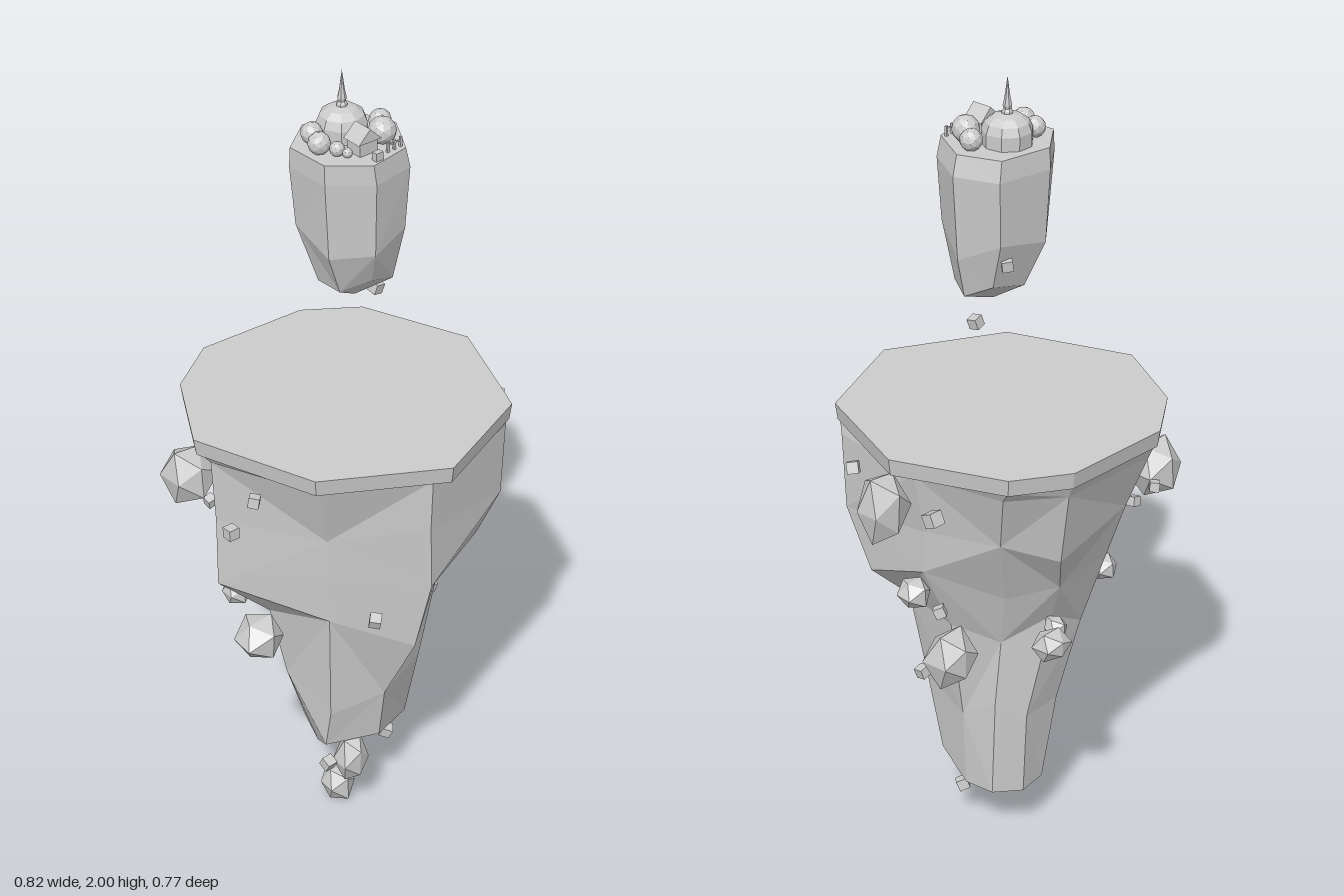
import * as THREE from 'three';

const material = new THREE.MeshStandardMaterial({ color: 0xcccccc, flatShading: true });

function add(parent, name, geometry, x = 0, y = 0, z = 0) {
  const mesh = new THREE.Mesh(geometry, material);
  mesh.name = name;
  mesh.position.set(x, y, z);
  parent.add(mesh);
  return mesh;
}

// Skin a stack of closed loops (top to bottom, arrays of [x, y, z]) and cap both ends.
function loft(loops, topCentre, bottomCentre) {
  const out = [];
  const tri = (...points) => points.forEach((p) => out.push(...p));
  const n = loops[0].length;
  const last = loops.length - 1;
  for (let j = 0; j < n; j++) {
    const k = (j + 1) % n;
    tri(topCentre, loops[0][k], loops[0][j]);
    tri(bottomCentre, loops[last][j], loops[last][k]);
    for (let i = 0; i < last; i++) {
      const [a, b, c, d] = [loops[i][j], loops[i][k], loops[i + 1][j], loops[i + 1][k]];
      // Alternate the diagonals for a chiselled look
      if ((i + j) % 2) { tri(a, b, c); tri(b, d, c); }
      else { tri(a, b, d); tri(a, d, c); }
    }
  }
  const g = new THREE.BufferGeometry();
  g.setAttribute('position', new THREE.Float32BufferAttribute(out, 3));
  g.computeVertexNormals();
  return g;
}

const ring = (outline, y, s = 1) => outline.map(([x, z]) => [x * s, y, z * s]);

const lathe = (points, sides) =>
  new THREE.LatheGeometry(points.map(([x, y]) => new THREE.Vector2(x, y)), sides);

// Uneven boulder: an icosahedron whose corners are pushed in and out by a rule
function boulder(rx, ry, rz, seed) {
  const g = new THREE.IcosahedronGeometry(1, 0);
  const p = g.attributes.position;
  for (let i = 0; i < p.count; i++) {
    const [x, y, z] = [p.getX(i), p.getY(i), p.getZ(i)];
    const s = 1.05 + 0.11 * Math.sin(x * 5 + y * 7 + z * 11 + seed * 2.3);
    p.setXYZ(i, x * s * rx, y * s * ry, z * s * rz);
  }
  g.computeVertexNormals();
  return g;
}

function mainIsland() {
  const group = new THREE.Group();
  group.name = 'mainIsland';
  const slab = [[-0.16, -0.385], [0.13, -0.375], [0.26, -0.29], [0.372, -0.02], [0.26, 0.27],
    [-0.02, 0.385], [-0.3, 0.23], [-0.415, -0.08], [-0.3, -0.29]];
  add(group, 'plateau', loft([ring(slab, 1.165), ring(slab, 1.122, 0.985)], [0, 1.165, 0], [0, 1.12, 0]));

  // Tapering cliff, one outline per height
  const upper = [[-0.15, -0.36], [0.12, -0.35], [0.24, -0.255], [0.29, -0.02], [0.26, 0.25],
    [-0.02, 0.315], [-0.25, 0.18], [-0.375, -0.07], [-0.28, -0.27]];
  const shoulder = [[-0.13, -0.31], [0.1, -0.31], [0.2, -0.21], [0.26, -0.02], [0.26, 0.24],
    [-0.02, 0.31], [-0.2, 0.145], [-0.365, -0.07], [-0.24, -0.23]];
  const middle = [[-0.12, -0.26], [0.04, -0.255], [0.13, -0.16], [0.255, -0.01], [0.25, 0.17],
    [-0.01, 0.305], [-0.2, 0.14], [-0.365, -0.07], [-0.21, -0.2]];
  const waist = [[-0.1, -0.2], [0.01, -0.205], [0.1, -0.12], [0.17, -0.02], [0.15, 0.14],
    [-0.03, 0.27], [-0.19, 0.14], [-0.235, -0.04], [-0.15, -0.13]];
  const lower = [[-0.06, -0.16], [0.05, -0.16], [0.11, -0.11], [0.13, -0.02], [0.11, 0.12],
    [-0.05, 0.18], [-0.18, 0.13], [-0.2, -0.02], [-0.12, -0.11]];
  const foot = [[-0.03, -0.14], [0.05, -0.15], [0.11, -0.1], [0.12, -0.02], [0.1, 0.08],
    [-0.05, 0.16], [-0.18, 0.11], [-0.12, 0], [-0.08, -0.1]];
  const uneven = (outline, y, amount) =>
    outline.map(([x, z], i) => [x, y + amount * Math.sin(i * 2.4 + y * 9), z]);
  add(group, 'cliff', loft([
    ring(slab, 1.124, 0.97),
    ring(upper, 1.09),
    uneven(shoulder, 0.92, 0.03),
    uneven(middle, 0.77, 0.04),
    uneven(waist, 0.62, 0.04),
    uneven(lower, 0.38, 0.03),
    // Underside rising towards the front
    foot.map(([x, z]) => [x, 0.14 + 0.25 * Math.max(0, -x - 0.05) + 0.65 * Math.max(0, z), z]),
  ], [0, 1.124, 0], [0.03, 0.137, -0.05]));
  return group;
}

function smallIsland() {
  const group = new THREE.Group();
  group.name = 'smallIsland';
  const rim = [[-0.04, -0.14], [0.1, -0.115], [0.142, -0.01], [0.08, 0.1],
    [-0.035, 0.122], [-0.125, 0.05], [-0.132, -0.07]];
  add(group, 'smallCliff', loft([
    rim.map(([x, z]) => [x * 0.95 - 0.006, 1.84, z * 0.96]),
    ring(rim, 1.79),
    rim.map(([x, z], i) => [x * 0.9, 1.61 + 0.03 * Math.sin(i * 2.4), z * 0.94]),
    rim.map(([x, z], i) => [x * 0.64 + 0.012, 1.495 + 0.02 * Math.sin(i * 2), z * 0.62]),
  ], [0, 1.84, 0], [0, 1.44, 0]));

  // Domed hall with a needle spire
  const dome = [[0.06, 0], [0.06, 0.035], [0.052, 0.055], [0.035, 0.068], [0.014, 0.074], [0, 0.075]];
  add(group, 'dome', lathe(dome, 9), 0, 1.838, -0.045);
  const spire = [[0.013, 0], [0.013, 0.012], [0.009, 0.018], [0.011, 0.026], [0.007, 0.045], [0, 0.095]];
  add(group, 'spire', lathe(spire, 7), 0, 1.905, -0.045);

  // Round shrubs
  const shrubs = [[-0.075, -0.06, 0.026], [-0.093, -0.01, 0.027], [-0.07, 0.025, 0.018],
    [-0.058, 0.047, 0.012], [0.082, -0.01, 0.027], [0.05, 0.037, 0.033]];
  for (const [x, z, r] of shrubs) {
    add(group, 'shrub', new THREE.IcosahedronGeometry(r, 1), x, 1.84 + r * 0.8, z).rotation.y = x * 40;
  }

  // Hut with a gabled roof
  add(group, 'hut', new THREE.BoxGeometry(0.05, 0.04, 0.044), -0.014, 1.858, 0.046);
  const gable = new THREE.Shape([[-0.033, 0], [0.033, 0], [0, 0.032]].map(([x, y]) => new THREE.Vector2(x, y)));
  add(group, 'hutRoof', new THREE.ExtrudeGeometry(gable, { depth: 0.054, bevelEnabled: false }), -0.014, 1.872, 0.019);
  add(group, 'step', new THREE.BoxGeometry(0.02, 0.02, 0.015), -0.015, 1.85, 0.1);

  // Low fence along the front edge
  for (let i = 0; i < 3; i++) {
    add(group, 'fencePost', new THREE.BoxGeometry(0.006, 0.024, 0.006), 0.025 + i * 0.02, 1.852, 0.087 - i * 0.002);
  }
  add(group, 'fenceRail', new THREE.BoxGeometry(0.046, 0.004, 0.003), 0.045, 1.857, 0.085);
  return group;
}

function debris() {
  const group = new THREE.Group();
  group.name = 'debris';
  // x, y, z, then radii along x, y, z
  const rocks = [
    [0.355, 1.015, 0.02, 0.064, 0.092, 0.06], [0.26, 0.745, 0.015, 0.043, 0.04, 0.04],
    [0.24, 0.595, -0.085, 0.06, 0.075, 0.062], [-0.31, 0.595, 0.02, 0.062, 0.058, 0.058],
    [-0.275, 0.64, -0.12, 0.037, 0.034, 0.037], [0.08, 0.635, -0.265, 0.045, 0.038, 0.045],
    [0.02, 0.64, -0.225, 0.03, 0.03, 0.03], [-0.325, 0.95, -0.235, 0.066, 0.075, 0.068],
    [-0.11, 0.175, 0.125, 0.042, 0.072, 0.042], [-0.1, 0.046, 0.055, 0.045, 0.054, 0.045],
  ];
  rocks.forEach(([x, y, z, ...r], i) => add(group, 'floatingRock', boulder(...r, i), x, y, z));

  // x, y, z, edge length
  const chips = [
    [0.345, 1.08, 0.125, 0.028], [0.325, 1.025, -0.115, 0.034], [0.275, 0.74, -0.085, 0.026],
    [0.225, 0.5, 0.025, 0.026], [-0.37, 1.065, 0.09, 0.026], [-0.38, 0.935, 0.01, 0.028],
    [-0.26, 0.94, -0.29, 0.024], [-0.28, 0.86, -0.21, 0.024], [-0.13, 0.69, 0.24, 0.028],
    [-0.165, 0.17, 0.1, 0.028], [0.085, 0.097, 0.025, 0.028],
    [0.085, 1.415, -0.025, 0.026], [0.06, 1.575, -0.1, 0.026],
  ];
  chips.forEach(([x, y, z, s], i) => {
    add(group, 'stoneChip', new THREE.BoxGeometry(s, s, s), x, y, z).rotation.set(0.2, i * 0.8 + 0.7, 0.25);
  });
  return group;
}

export function createModel() {
  const model = new THREE.Group();
  model.name = 'floatingIslands';
  model.add(mainIsland(), smallIsland(), debris());
  return model;
}
